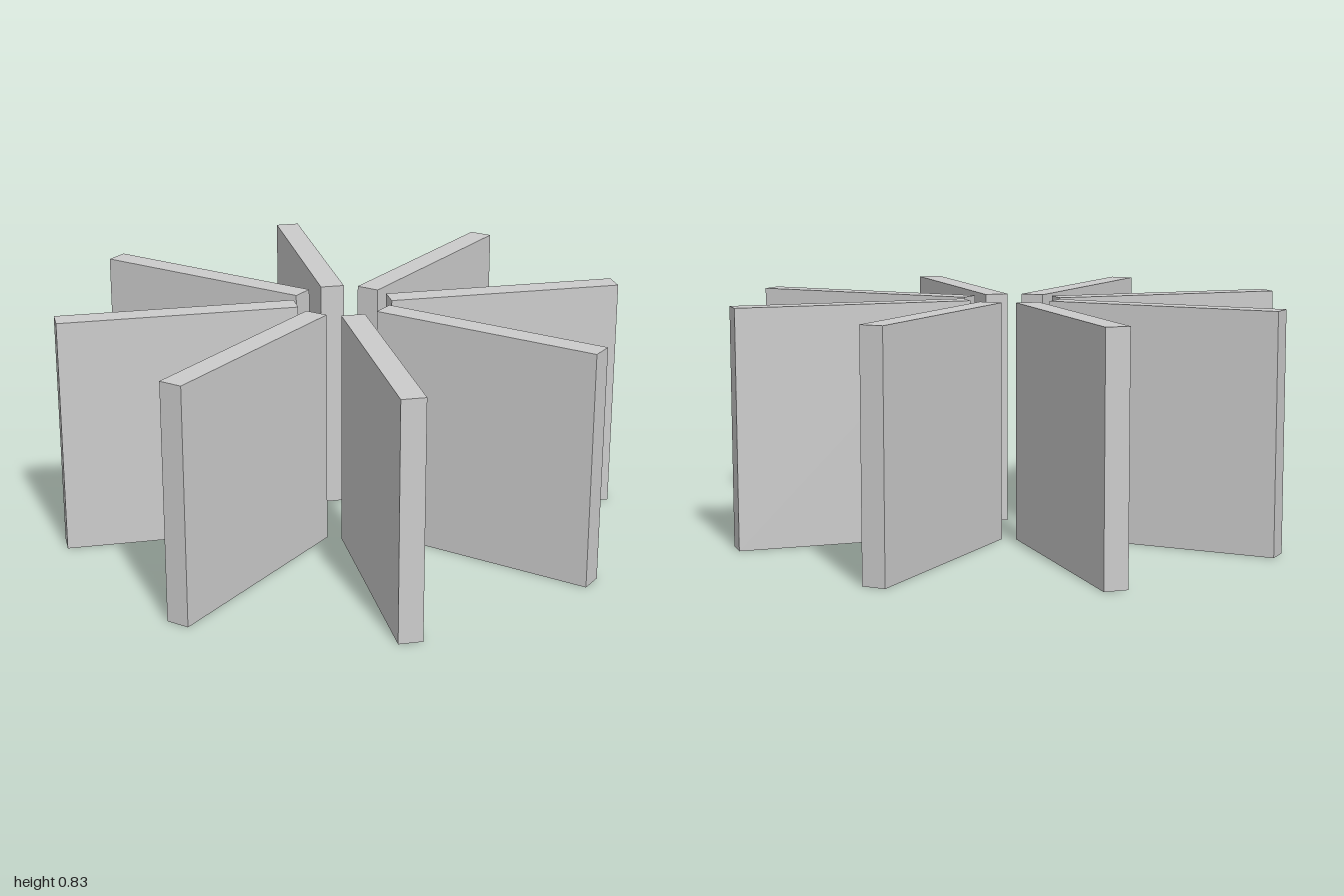
import * as THREE from 'three';

const COUNT = 8;
const INNER = 1 / 6; // radius of the open hub
const OUTER = 1;
const HEIGHT = 5 / 6;
const THICKNESS = 1 / 12;

export function createModel() {
  const group = new THREE.Group();
  group.name = 'radialPanels';

  const material = new THREE.MeshStandardMaterial({ color: 0xcccccc });

  // One upright panel, offset outward from the central axis and standing on the ground
  const geometry = new THREE.BoxGeometry(OUTER - INNER, HEIGHT, THICKNESS);
  geometry.translate((INNER + OUTER) / 2, HEIGHT / 2, 0);

  // Panels spread evenly around the axis
  for (let i = 0; i < COUNT; i++) {
    const panel = new THREE.Mesh(geometry, material);
    panel.name = `panel${i + 1}`;
    panel.rotation.y = (i / COUNT) * Math.PI * 2;
    group.add(panel);
  }

  return group;
}
